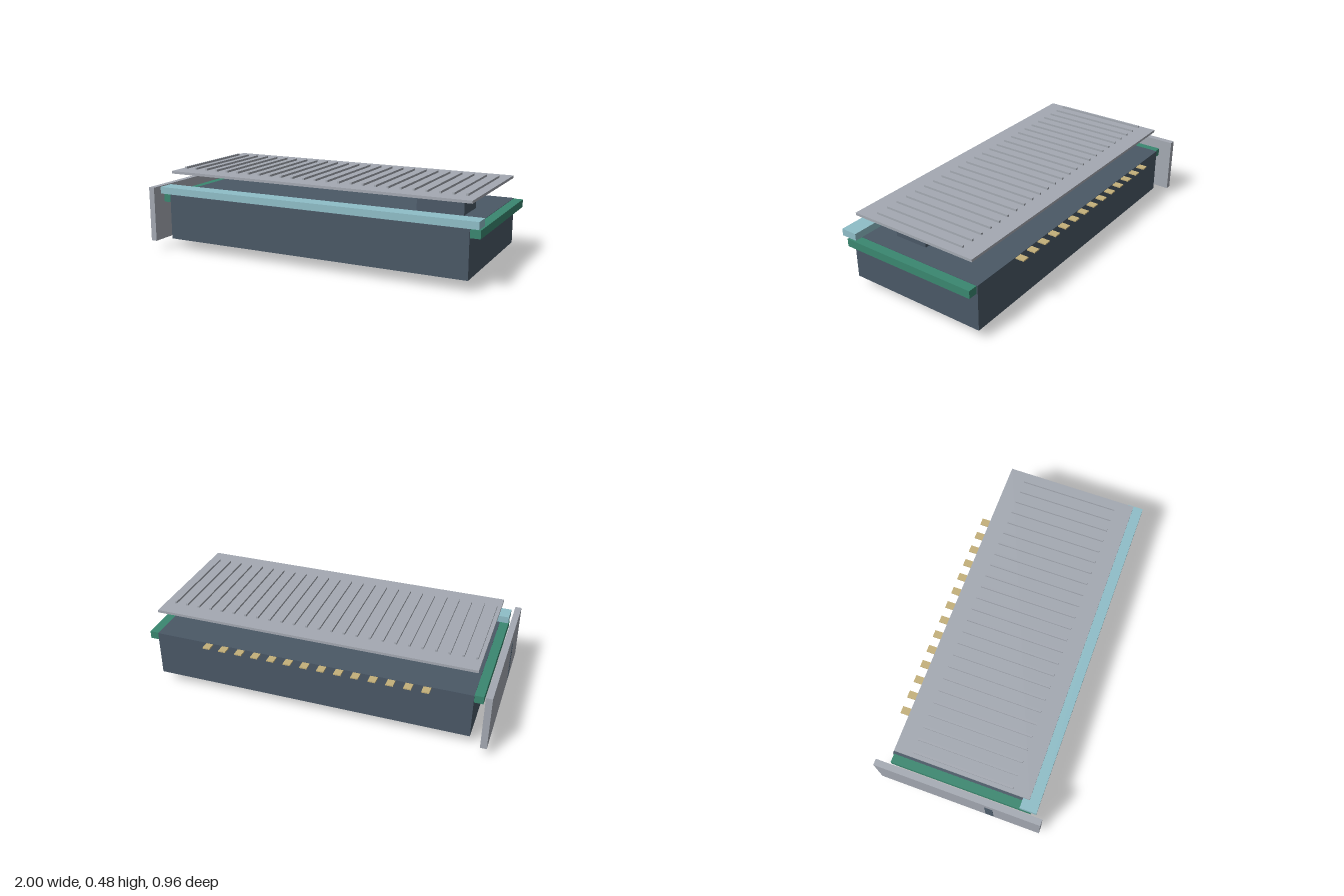
import * as THREE from 'three';

const mat = (name, color) => {
  const m = new THREE.MeshStandardMaterial({ color });
  m.name = name;
  return m;
};

export function createModel() {
  const slate = mat('slate', 0x4a5866);
  const grey = mat('grey', 0xa4a9b2);
  const green = mat('boardGreen', 0x3a8770);
  const aqua = mat('aqua', 0x8fbec8);
  const gold = mat('gold', 0xc4b07a);

  const model = new THREE.Group();
  model.name = 'graphicsCard';

  // Box given by its minimum and maximum on each axis
  const box = (name, material, [x0, x1], [y0, y1], [z0, z1], parent = model) => {
    const mesh = new THREE.Mesh(new THREE.BoxGeometry(x1 - x0, y1 - y0, z1 - z0), material);
    mesh.position.set((x0 + x1) / 2, (y0 + y1) / 2, (z0 + z1) / 2);
    mesh.name = name;
    parent.add(mesh);
    return mesh;
  };
  const disc = (name, material, r, y0, y1, parent) => {
    const mesh = new THREE.Mesh(new THREE.CylinderGeometry(r, r, y1 - y0, 32), material);
    mesh.position.y = (y0 + y1) / 2;
    mesh.name = name;
    parent.add(mesh);
  };

  // Main parts
  box('shroud', slate, [-0.895, 0.945], [0.065, 0.332], [-0.415, 0.415]);
  box('circuitBoard', green, [-0.945, 1], [0.285, 0.33], [-0.408, 0.408]);
  box('lightBar', aqua, [-0.945, 1], [0.34, 0.38], [0.345, 0.44]);
  box('powerSocket', slate, [0.58, 0.845], [0.345, 0.455], [0, 0.2]);
  box('backplate', grey, [-0.9, 0.945], [0.455, 0.47], [-0.385, 0.385]);
  box('bracket', grey, [-0.998, -0.962], [0.057, 0.38], [-0.48, 0.48]);

  // Ribs along the backplate
  const ribs = new THREE.Group();
  ribs.name = 'backplateRibs';
  for (let i = 0; i < 25; i++) {
    const x = -0.872 + i * 0.0732;
    box('rib', grey, [x - 0.006, x + 0.006], [0.47, 0.482], [-0.285, 0.285], ribs);
  }

  // Edge contacts on the back
  const contacts = new THREE.Group();
  contacts.name = 'edgeContacts';
  for (let i = 0; i < 14; i++) {
    const x = -0.648 + i * 0.0971;
    box('contact', gold, [x - 0.021, x + 0.021], [0.323, 0.33], [-0.465, -0.41], contacts);
  }

  // Vent slots on the outer face of the bracket
  const vents = new THREE.Group();
  vents.name = 'bracketVents';
  for (let i = 0; i < 7; i++) {
    const y = 0.093 + i * 0.034;
    box('vent', slate, [-1, -0.997], [y - 0.011, y + 0.011], [0.16, 0.208], vents);
  }
  model.add(ribs, contacts, vents);

  // Three fans underneath
  for (const x of [-0.583, 0.024, 0.631]) {
    const fan = new THREE.Group();
    fan.name = 'fan';
    fan.position.x = x;
    disc('fanRing', grey, 0.227, 0.043, 0.066, fan);
    disc('fanHub', slate, 0.052, 0, 0.041, fan);
    for (let i = 0; i < 7; i++) {
      const arm = new THREE.Group();
      arm.name = 'fanBlade';
      arm.rotation.y = (i / 7) * Math.PI * 2;
      const blade = box('blade', grey, [0.055, 0.185], [0.029, 0.04], [-0.035, 0.035], arm);
      blade.rotation.y = 0.4;
      fan.add(arm);
    }
    model.add(fan);
  }
  return model;
}
